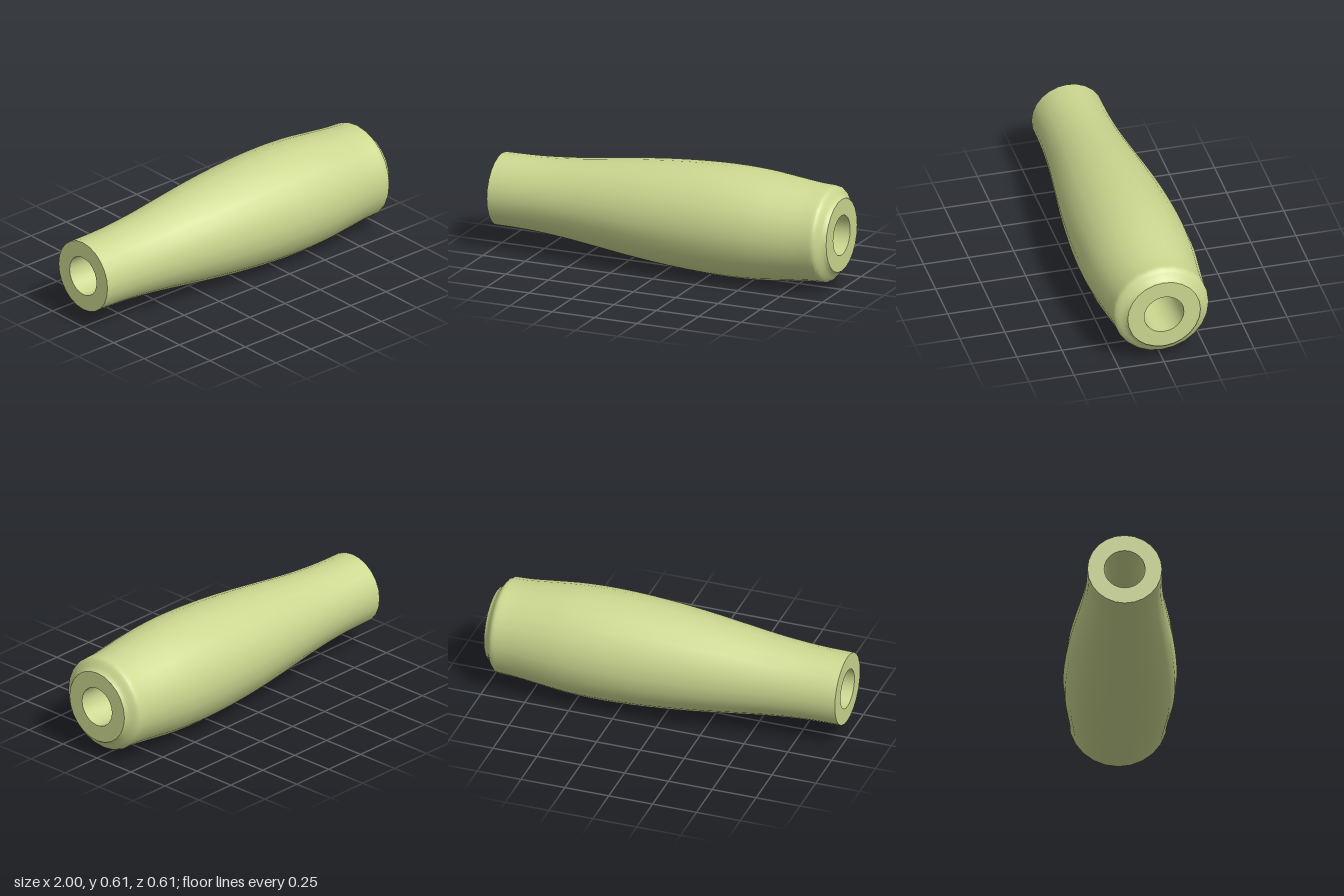
import * as THREE from 'three';

const SIDES = 24;
const RADIUS = 0.305; // widest radius, also the height of the axis
const BORE = 0.11;
const END = 0.202;

export function createModel() {
  const model = new THREE.Group();
  model.name = 'handle';
  const material = new THREE.MeshStandardMaterial({ color: 0xccd890 });

  // Turned surface around the x axis; each point is [x, radius]
  const turned = (name, points) => {
    const geometry = new THREE.LatheGeometry(points.map(([x, r]) => new THREE.Vector2(r, x)), SIDES);
    geometry.rotateZ(-Math.PI / 2);
    const mesh = new THREE.Mesh(geometry, material);
    mesh.name = name;
    mesh.position.y = RADIUS;
    model.add(mesh);
  };

  // Swelling grip
  const swell = new THREE.SplineCurve([
    [-1, 0.2], [-0.8, 0.204], [-0.6, 0.219], [-0.4, 0.243], [-0.2, 0.268], [0, 0.288],
    [0.2, 0.301], [0.38, 0.305], [0.55, 0.299], [0.7, 0.284], [0.84, 0.269], [0.92, 0.265],
  ].map(([x, r]) => new THREE.Vector2(x, r)));
  const profile = swell.getPoints(44).map((p) => [p.x, p.y]);

  // Rounded shoulder running into a shallow cove at the wide end
  const shoulder = [[0.935, 0.2645], [0.946, 0.261], [0.956, 0.252], [0.966, 0.238],
    [0.976, 0.222], [0.987, 0.209], [1, END]];
  turned('grip', [...profile, ...shoulder]);

  // Flat end rings and the through bore
  turned('wideEnd', [[1, END], [1, BORE]]);
  turned('bore', [[1, BORE], [-1, BORE]]);
  turned('narrowEnd', [[-1, BORE], [-1, 0.2]]);

  return model;
}
